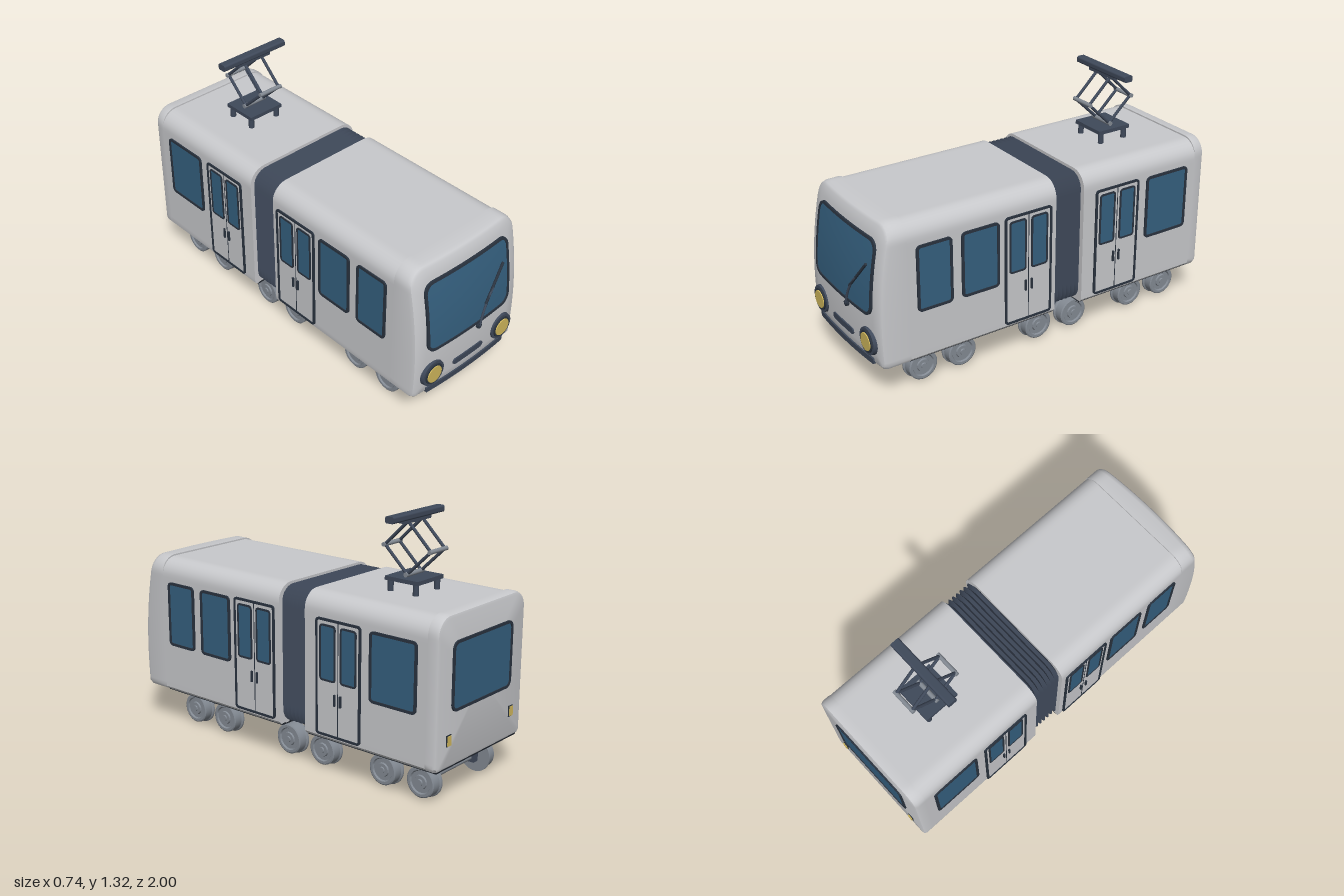
import * as THREE from 'three';
import { toCreasedNormals } from 'three/addons/utils/BufferGeometryUtils.js';

const mat = (name, color, side = THREE.FrontSide) => {
  const m = new THREE.MeshStandardMaterial({ color, side });
  m.name = name;
  return m;
};

// Rounded rectangle with separate top and bottom corner radii
function roundRect(x, y0, y1, rt, rb = rt) {
  const s = new THREE.Shape(), P = Math.PI;
  s.moveTo(-x + rb, y0);
  s.lineTo(x - rb, y0);
  s.absarc(x - rb, y0 + rb, rb, -P / 2, 0);
  s.lineTo(x, y1 - rt);
  s.absarc(x - rt, y1 - rt, rt, 0, P / 2);
  s.lineTo(-x + rt, y1);
  s.absarc(-x + rt, y1 - rt, rt, P / 2, P);
  s.lineTo(-x, y0 + rb);
  s.absarc(-x + rb, y0 + rb, rb, P, P * 1.5);
  return s;
}

// Evenly spaced outline, scaled about (0, cy), with z given by number or rule
function ring(shape, z, scale = 1, cy = 0.57) {
  const pts = shape.getSpacedPoints(140).slice(0, 140);
  return pts.map((p) => {
    const x = p.x * scale, y = cy + (p.y - cy) * scale;
    return [x, y, typeof z === 'function' ? z(x, y) : z];
  });
}

// Skin over closed rings running towards +z
function loft(rings, crease = 0.6) {
  const n = rings[0].length, index = [];
  for (let k = 0; k < rings.length - 1; k++) {
    for (let i = 0; i < n; i++) {
      const j = (i + 1) % n, a = k * n, b = a + n;
      index.push(a + i, a + j, b + j, a + i, b + j, b + i);
    }
  }
  const g = new THREE.BufferGeometry();
  g.setAttribute('position', new THREE.Float32BufferAttribute(rings.flat(2), 3));
  g.setIndex(index);
  return toCreasedNormals(g, crease);
}

// Curved nose surface
const frontZ = (x, y) =>
  0.985 - (y > 0.4 ? 0.24 : 0.2) * (y - 0.4) ** 2 - 0.02 * (x / 0.35) ** 2;
const front = (d) => (x, y) => frontZ(x, y) + d;

export function createModel() {
  const root = new THREE.Group();
  root.name = 'articulatedTram';
  const body = mat('bodyGrey', 0xc8c9cc);
  const glass = mat('glassBlue', 0x35607f);
  const trim = mat('darkTrim', 0x2a333f);
  const slate = mat('slate', 0x3f495a);
  const metal = mat('metalGrey', 0x838a93);
  const gold = mat('lampGold', 0xd0b75c);
  const under = mat('underbodyBlack', 0x20252d);

  const add = (name, geo, m, x = 0, y = 0, z = 0, parent = root) => {
    const o = new THREE.Mesh(geo, m);
    o.name = name;
    o.position.set(x, y, z);
    parent.add(o);
    return o;
  };
  const box = (name, m, w, h, d, x, y, z, parent) =>
    add(name, new THREE.BoxGeometry(w, h, d), m, x, y, z, parent);
  const rod = (name, m, a, b, r, parent = root) => {
    const A = new THREE.Vector3(...a), B = new THREE.Vector3(...b);
    const o = add(name, new THREE.CylinderGeometry(r, r, A.distanceTo(B), 14), m, 0, 0, 0, parent);
    o.position.copy(A).add(B).multiplyScalar(0.5);
    o.quaternion.setFromUnitVectors(new THREE.Vector3(0, 1, 0), B.sub(A).normalize());
    return o;
  };

  // Car bodies: main shells sit slightly below the end caps at the roof
  const sec = (i = 0, top = 0.94) => roundRect(0.355 - i, 0.2 + i, top - i, 0.09 - i, 0.02 - i);
  const shell = (name, z0, z1) => {
    const s = sec(0, 0.932);
    add(name, loft([ring(s, z0, 0), ring(s, z0), ring(s, z1), ring(s, z1, 0)]), body);
  };
  shell('frontCarBody', -0.03, 0.81);
  shell('rearCarBody', -0.93, -0.2);
  const full = sec(), inner = sec(0.018);
  add('nose', loft([
    ring(full, 0.81, 0), ring(full, 0.81), ring(full, front(-0.025)),
    ring(sec(0.006), front(-0.007)), ring(inner, front(0)),
    ...[0.85, 0.7, 0.55, 0.4, 0.25, 0.1, 0].map((s) => ring(inner, front(0), s)),
  ]), body);
  add('rearCap', loft([
    ring(inner, -0.99, 0), ring(inner, -0.99), ring(sec(0.006), -0.986),
    ring(full, -0.972), ring(full, -0.93), ring(full, -0.93, 0),
  ]), body);
  box('frontUnderframe', under, 0.67, 0.01, 0.84, 0, 0.199, 0.39);
  box('rearUnderframe', under, 0.67, 0.01, 0.78, 0, 0.199, -0.59);

  // Folded bellows between the cars
  const folds = [];
  for (let i = 0; i <= 14; i++) {
    const d = i % 2 ? 0 : 0.022;
    folds.push(ring(roundRect(0.338 - d, 0.205 + d, 0.922 - d, 0.08), -0.205 + i * 0.18 / 14));
  }
  add('bellows', loft(folds, 0.2), slate);

  // Framed window as thin plates, facing local +z
  const framed = (name, w, h, r, t, parent, x = 0, y = 0) => {
    const s = roundRect(w / 2, -h / 2, h / 2, r);
    const pane = roundRect(w / 2 - t, -h / 2 + t, h / 2 - t, Math.max(r - t, 0.006));
    s.holes.push(pane);
    const ex = (sh, depth) => new THREE.ExtrudeGeometry(sh, { depth, bevelEnabled: false });
    add(name + 'Frame', ex(s, 0.008), trim, x, y, 0, parent);
    return add(name + 'Pane', ex(pane, 0.004), glass, x, y, 0, parent);
  };
  const panel = (name, x, y, z, rot) => {
    const g = new THREE.Group();
    g.name = name;
    g.position.set(x, y, z);
    g.rotation.y = rot;
    root.add(g);
    return g;
  };

  // Side windows and double doors
  for (const s of [-1, 1]) {
    const rot = s * Math.PI / 2, x = s * 0.355;
    for (const [z, w] of [[0.67, 0.195], [0.415, 0.215], [-0.74, 0.275]]) {
      framed('sideWindow', w, 0.35, 0.025, 0.014, panel('sideWindow', x, 0.637, z, rot));
    }
    for (const z of [0.137, -0.413]) {
      const door = panel('door', x, 0.522, z, rot);
      framed('door', 0.278, 0.595, 0.02, 0.012, door).material = body;
      box('doorSeam', trim, 0.004, 0.57, 0.009, 0, 0, 0.001, door);
      for (const e of [-1, 1]) {
        framed('doorWindow', 0.1, 0.285, 0.018, 0.01, door, e * 0.064, 0.127).position.z = 0.002;
        box('doorHandle', trim, 0.009, 0.058, 0.012, e * 0.018, -0.102, 0.007, door);
      }
    }
  }

  // Rear window and tail lamps
  framed('rearWindow', 0.49, 0.34, 0.04, 0.014, panel('rearWindow', 0, 0.64, -0.99, Math.PI));
  for (const s of [-1, 1]) {
    box('tailLampRim', trim, 0.034, 0.056, 0.006, s * 0.26, 0.34, -0.991);
    box('tailLamp', gold, 0.026, 0.048, 0.012, s * 0.26, 0.34, -0.993);
  }

  // Plates following the curved nose
  const nosePlate = (name, shape, d, m, cy) =>
    add(name, loft([ring(shape, front(-0.01)), ring(shape, front(d)),
      ...[0.75, 0.5, 0.25, 0].map((k) => ring(shape, front(d), k, cy))]), m);
  const screen = roundRect(0.273, 0.478, 0.842, 0.045);
  const screenRim = roundRect(0.286, 0.465, 0.855, 0.055);
  nosePlate('windshield', screen, 0.005, glass, 0.66);
  add('windshieldFrame', loft([ring(screenRim, front(-0.01)), ring(screenRim, front(0.01)),
    ring(screen, front(0.01)), ring(screen, front(-0.002))]), trim);
  nosePlate('noseGrille', roundRect(0.104, 0.285, 0.32, 0.016), 0.007, slate, 0.3025);
  nosePlate('bumper', roundRect(0.275, 0.205, 0.238, 0.004), 0.008, slate, 0.2215);

  // Headlamps
  for (const s of [-1, 1]) {
    const lamp = panel('headlamp', s * 0.243, 0.323, 0.965, 0);
    const disc = (name, r0, r1, d, z, m) =>
      add(name, new THREE.CylinderGeometry(r1, r0, d, 40), m, 0, 0, z, lamp).rotation.x = Math.PI / 2;
    disc('headlampRim', 0.077, 0.07, 0.04, 0.002, slate);
    disc('headlampBezel', 0.058, 0.056, 0.01, 0.022, trim);
    disc('headlampLens', 0.053, 0.046, 0.02, 0.021, gold);
  }

  // Wiper
  const onNose = (x, y, d) => [x, y, frontZ(x, y) + d];
  rod('wiperPivot', trim, onNose(0.06, 0.445, -0.005), onNose(0.06, 0.445, 0.014), 0.015);
  const arm = new THREE.CatmullRomCurve3([[0.06, 0.445], [0.085, 0.52], [0.125, 0.59], [0.155, 0.625]]
    .map(([x, y]) => new THREE.Vector3(...onNose(x, y, 0.012))));
  add('wiperArm', new THREE.TubeGeometry(arm, 16, 0.006, 8), slate);
  rod('wiperBlade', trim, onNose(0.1, 0.558, 0.012), onNose(0.235, 0.725, 0.013), 0.007);

  // Bogies
  const wheelProfile = [[0, 0], [0.088, 0], [0.088, 0.008], [0.081, 0.014], [0.079, 0.056], [0.073, 0.06],
    [0.06, 0.06], [0.055, 0.052], [0.036, 0.052], [0.033, 0.06], [0.016, 0.06], [0.014, 0.066], [0, 0.066]]
    .map(([r, h]) => new THREE.Vector2(r, h));
  const wheelGeo = toCreasedNormals(new THREE.LatheGeometry(wheelProfile, 40), 0.5);
  for (const zc of [0.578, -0.112, -0.722]) {
    const bogie = panel('bogie', 0, 0, zc, 0);
    box('bolster', metal, 0.36, 0.026, 0.07, 0, 0.177, 0, bogie);
    rod('bogiePivot', slate, [0, 0.16, 0], [0, 0.215, 0], 0.045, bogie);
    for (const s of [-1, 1]) {
      rod('spring', slate, [s * 0.153, 0.12, 0], [s * 0.153, 0.168, 0], 0.022, bogie);
      rod('springSeat', metal, [s * 0.153, 0.138, 0], [s * 0.153, 0.146, 0], 0.03, bogie);
      box('sideRail', slate, 0.03, 0.022, 0.24, s * 0.165, 0.122, 0, bogie);
    }
    for (const dz of [-0.113, 0.113]) {
      rod('axle', metal, [-0.21, 0.088, dz], [0.21, 0.088, dz], 0.015, bogie);
      for (const s of [-1, 1]) {
        box('axleBox', slate, 0.038, 0.055, 0.05, s * 0.172, 0.09, dz, bogie);
        add('wheel', wheelGeo, metal, s * 0.198, 0.088, dz, bogie).rotation.z = -s * Math.PI / 2;
      }
    }
  }

  // Pantograph
  const pan = panel('pantograph', 0, 0, -0.585, 0);
  box('pantographBase', slate, 0.206, 0.02, 0.195, 0, 0.995, 0, pan);
  for (const s of [-1, 1]) {
    for (const e of [-1, 1]) {
      rod('pantographFoot', slate, [s * 0.085, 0.925, e * 0.075], [s * 0.085, 0.99, e * 0.075], 0.015, pan);
      rod('lowerArm', slate, [s * 0.056, 1.018, 0], [s * 0.056, 1.145, e * 0.135], 0.008, pan);
      rod('upperArm', slate, [s * 0.056, 1.145, e * 0.135], [s * 0.056, 1.275, 0], 0.008, pan);
    }
    rod('middleRod', metal, [-0.07, 1.145, s * 0.135], [0.07, 1.145, s * 0.135], 0.011, pan);
  }
  rod('lowerRod', metal, [-0.07, 1.017, 0], [0.07, 1.017, 0], 0.012, pan);
  box('headCarrier', slate, 0.206, 0.018, 0.035, 0, 1.278, 0, pan);
  const headGeo = new THREE.ExtrudeGeometry(roundRect(0.025, 1.284, 1.318, 0.01),
    { depth: 0.4, bevelEnabled: false });
  add('contactBar', headGeo, slate, -0.2, 0, 0, pan).rotation.y = Math.PI / 2;

  return root;
}
